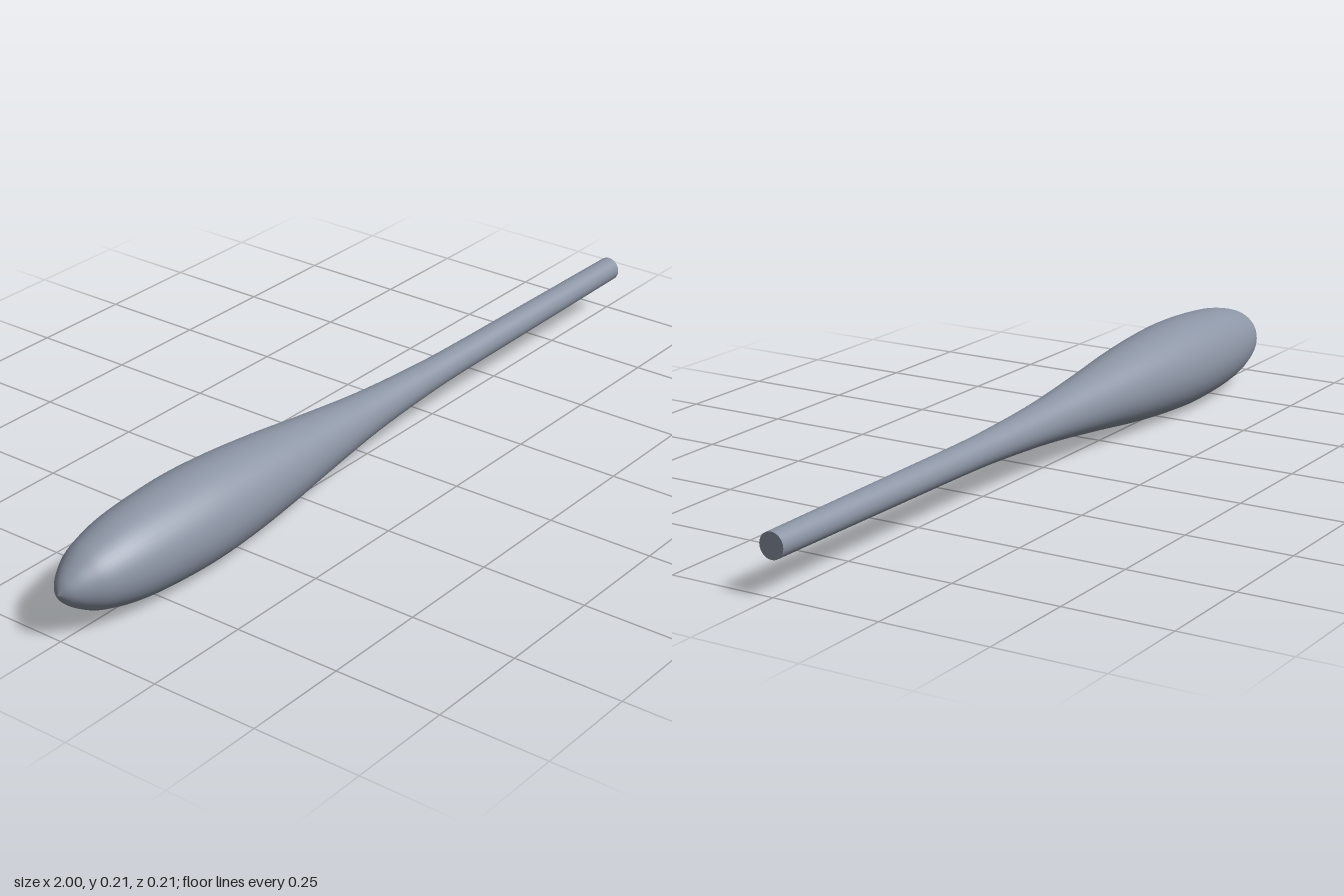
import * as THREE from 'three';

export function createModel() {
  const group = new THREE.Group();
  const grey = new THREE.MeshStandardMaterial({ color: 0x8c95a5 });
  grey.name = 'blue grey';

  // Profile as [position along the length, radius], from the blunt tip to the handle end
  const profile = [
    [-1, 0], [-0.985, 0.025], [-0.95, 0.052], [-0.9, 0.075], [-0.8, 0.096],
    [-0.64, 0.106], [-0.5, 0.102], [-0.35, 0.089], [-0.2, 0.071], [0, 0.05],
    [0.2, 0.038], [0.35, 0.034], [0.6, 0.032], [1, 0.029],
  ];
  const curve = new THREE.SplineCurve(profile.map(([x, r]) => new THREE.Vector2(r, x)));
  const points = curve.getPoints(78);
  points.forEach((p) => { p.x = Math.max(p.x, 0); });

  // Turned body: bulbous head tapering into a slim handle
  const bodyGeometry = new THREE.LatheGeometry(points, 48);
  bodyGeometry.rotateZ(-Math.PI / 2);
  const body = new THREE.Mesh(bodyGeometry, grey);
  body.name = 'turnedBody';

  // Flat disc closing the handle
  const capGeometry = new THREE.CircleGeometry(0.029, 48);
  capGeometry.rotateY(Math.PI / 2);
  const cap = new THREE.Mesh(capGeometry, grey);
  cap.name = 'handleEndCap';
  cap.position.x = 1;

  group.add(body, cap);
  group.position.y = 0.106;
  group.name = 'club';
  const model = new THREE.Group();
  model.add(group);
  return model;
}
